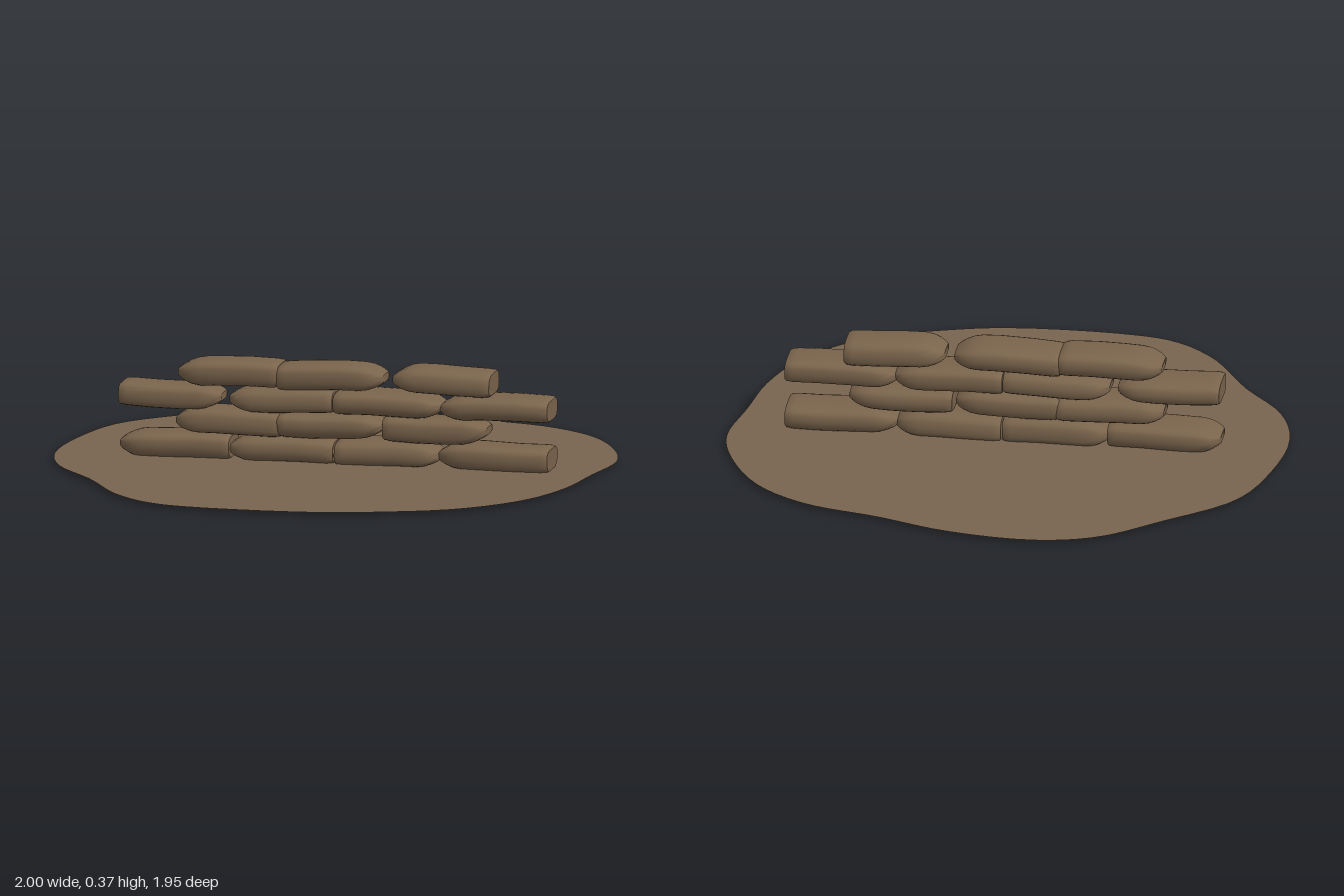
import * as THREE from 'three';
import { toCreasedNormals } from 'three/addons/utils/BufferGeometryUtils.js';

// Bag profile along its length: [distance from tied end or -distance from cut end, height scale, width scale]
const RINGS = [
  [0, 0, 0], [0, 0.3, 0.55], [0.012, 0.48, 0.72], [0.03, 0.68, 0.86], [0.055, 0.88, 0.95],
  [0.085, 0.98, 0.99], [0.15, 1, 1], [-0.12, 0.99, 1], [-0.03, 0.98, 0.98], [-0.006, 0.92, 0.95],
  [0, 0.82, 0.9], [0, 0, 0],
];
const SIDES = 24;

// Lofted sandbag, tied end at -x, cut end at +x, centred on the origin
function bagGeometry(length, height, width, seed) {
  const pos = [], index = [];
  const squash = (v) => Math.sign(v) * Math.abs(v) ** 0.6;
  RINGS.forEach(([d, sy, sz], i) => {
    const x = i < 7 ? d - length / 2 : d + length / 2;
    const sag = 0.003 * Math.sin(x * 14 + seed);
    for (let k = 0; k < SIDES; k++) {
      const a = (k / SIDES) * Math.PI * 2;
      const lump = 1 + 0.025 * Math.sin(3 * a + seed * 1.7);
      pos.push(
        x,
        squash(Math.sin(a)) * sy * height / 2 * lump + sag,
        squash(Math.cos(a)) * sz * width / 2 * lump,
      );
    }
  });
  const last = RINGS.length - 2;
  for (let i = 0; i <= last; i++) {
    for (let k = 0; k < SIDES; k++) {
      const n = (k + 1) % SIDES;
      const a = i * SIDES + k, b = a + SIDES, c = (i + 1) * SIDES + n, d = i * SIDES + n;
      if (i < last) index.push(a, b, c);
      if (i > 0) index.push(a, c, d);
    }
  }
  const g = new THREE.BufferGeometry();
  g.setAttribute('position', new THREE.Float32BufferAttribute(pos, 3));
  g.setIndex(index);
  return toCreasedNormals(g, 0.75);
}

// Courses from the bottom up; each bag is [x start, x end, tied end side, tilt]
const COURSES = [
  { y: 0.05, h: 0.094, z: 0, bags: [
    [-0.77, -0.365, -1, 0], [-0.37, 0.015, -1, 0], [0.02, 0.4, 1, 0], [0.395, 0.8, -1, 0]] },
  { y: 0.142, h: 0.092, z: 0, bags: [
    [-0.565, -0.18, -1, 0], [-0.19, 0.185, 1, 0], [0.195, 0.57, 1, 0]] },
  { y: 0.228, h: 0.088, z: -0.002, bags: [
    [-0.77, -0.4, 1, -0.01], [-0.37, 0.012, -1, 0.01], [0.015, 0.405, 1, 0], [0.4, 0.8, -1, 0.015]] },
  { y: 0.317, h: 0.094, z: -0.01, bags: [
    [-0.56, -0.19, -1, 0], [-0.195, 0.19, 1, 0.02], [0.225, 0.585, -1, -0.01]] },
];

// Ground outline as x, z
const OUTLINE = [
  [-0.235, -0.97], [0.085, -0.935], [0.35, -0.84], [0.62, -0.76], [0.81, -0.62], [0.94, -0.395],
  [0.995, -0.18], [0.96, 0.085], [0.92, 0.35], [0.82, 0.595], [0.62, 0.8], [0.35, 0.915],
  [0.14, 0.965], [-0.26, 0.97], [-0.45, 0.93], [-0.61, 0.8], [-0.77, 0.54], [-0.93, 0.325],
  [-1, 0.085], [-0.975, -0.235], [-0.89, -0.5], [-0.66, -0.73], [-0.45, -0.91],
];

export function createModel() {
  const model = new THREE.Group();
  model.name = 'sandbagWall';
  const burlap = new THREE.MeshStandardMaterial({ name: 'burlap brown', color: 0x7a644c });
  const earth = new THREE.MeshStandardMaterial({
    name: 'earth brown', color: 0x78644f, side: THREE.DoubleSide });

  // Flat patch of earth
  const curve = new THREE.CatmullRomCurve3(
    OUTLINE.map(([x, z]) => new THREE.Vector3(x, -z, 0)), true);
  const shape = new THREE.Shape(
    curve.getPoints(96).slice(0, -1).map((p) => new THREE.Vector2(p.x, p.y)));
  const ground = new THREE.Mesh(new THREE.ShapeGeometry(shape).rotateX(-Math.PI / 2), earth);
  ground.name = 'ground';
  ground.position.y = 0.012;
  model.add(ground);

  // Stacked courses of bags
  COURSES.forEach((course, row) => {
    const group = new THREE.Group();
    group.name = `course${row + 1}`;
    course.bags.forEach(([x0, x1, tied, tilt], i) => {
      const g = bagGeometry(x1 - x0, course.h, 0.19, row * 2.3 + i * 1.1);
      if (tied > 0) g.rotateY(Math.PI);
      const bag = new THREE.Mesh(g, burlap);
      bag.name = `sandbag${row + 1}_${i + 1}`;
      bag.position.set((x0 + x1) / 2, course.y, course.z);
      bag.rotation.z = tilt;
      group.add(bag);
    });
    model.add(group);
  });
  return model;
}
